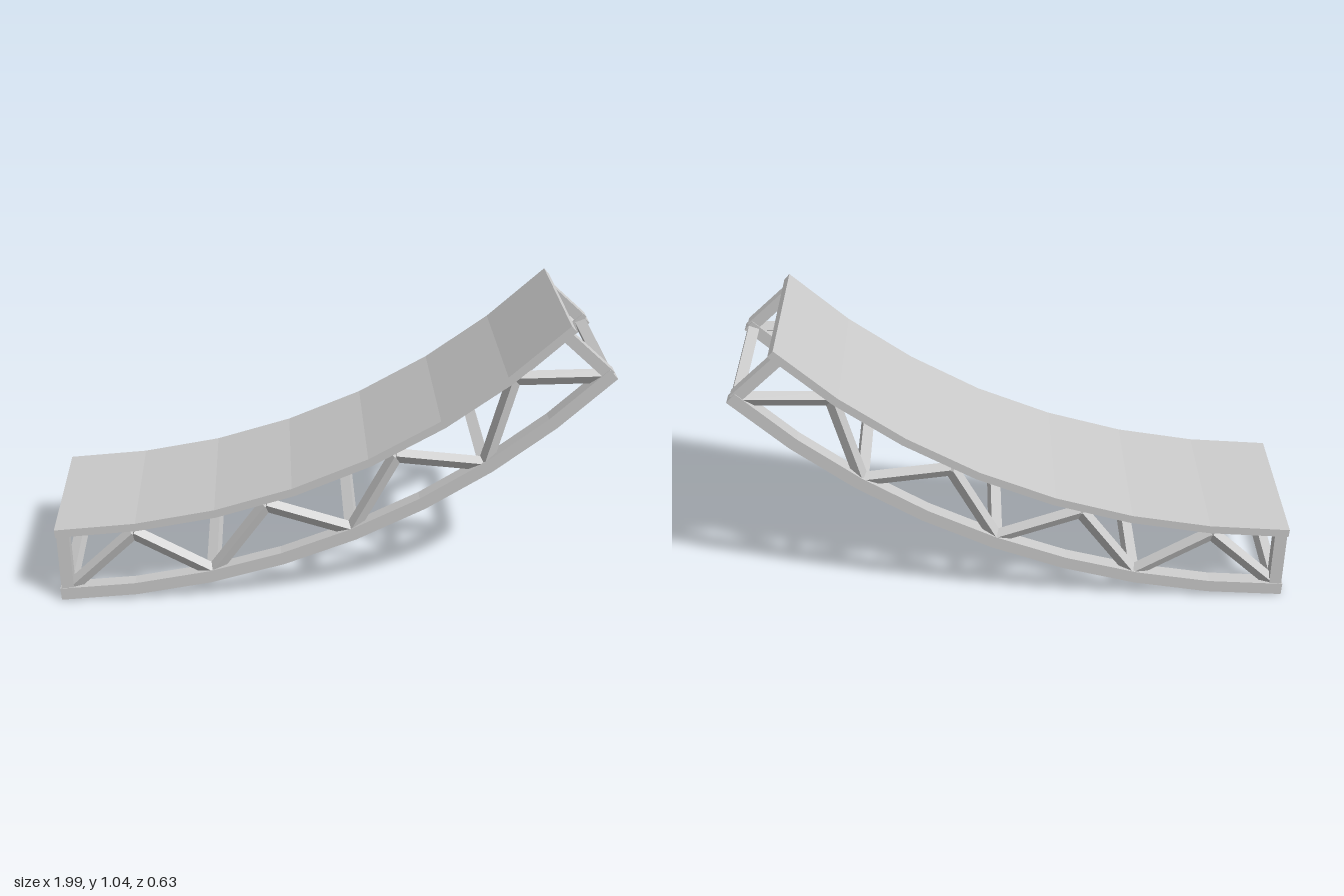
import * as THREE from 'three';

const material = new THREE.MeshStandardMaterial({ color: 0xcccccc, flatShading: true });

function addMesh(parent, name, geometry) {
  const mesh = new THREE.Mesh(geometry, material);
  mesh.name = name;
  parent.add(mesh);
  return mesh;
}

// Faceted curved strip: a profile line thickened along its normals, extruded from z0 to z1
function curvedStrip(points, thickness, z0, z1) {
  const line = points.map(([x, y]) => new THREE.Vector2(x, y));
  const other = line.map((p, i) => {
    const a = line[Math.max(i - 1, 0)], b = line[Math.min(i + 1, line.length - 1)];
    const t = b.clone().sub(a).normalize();
    return new THREE.Vector2(p.x - t.y * thickness, p.y + t.x * thickness);
  });
  const shape = new THREE.Shape([...line, ...other.reverse()]);
  const geometry = new THREE.ExtrudeGeometry(shape, { depth: z1 - z0, bevelEnabled: false });
  return geometry.translate(0, 0, z0);
}

// Square bar between two points of the side plane, twisted about its own axis
function addBar(parent, name, [x0, y0], [x1, y1], z, width, depth, twist) {
  const length = Math.hypot(x1 - x0, y1 - y0);
  const geometry = new THREE.BoxGeometry(length, width, depth);
  geometry.rotateX(twist);
  geometry.rotateZ(Math.atan2(y1 - y0, x1 - x0));
  geometry.translate((x0 + x1) / 2, (y0 + y1) / 2, z);
  return addMesh(parent, name, geometry);
}

export function createModel() {
  const model = new THREE.Group();
  model.name = 'curvedTrussRamp';

  // Deck: thin curved slab
  const deckLine = [[-1, 0.29], [-0.71, 0.312], [-0.425, 0.361], [-0.147, 0.441],
    [0.125, 0.553], [0.38, 0.695], [0.61, 0.858], [0.82, 1.045]];
  addMesh(model, 'deck', curvedStrip(deckLine, -0.03, -0.313, 0.313));

  // Lower chord: arc that follows the deck
  const chordLine = [];
  for (let i = 0; i <= 8; i++) {
    const angle = THREE.MathUtils.degToRad(1 + i * 5.5);
    chordLine.push([-1.04 + 2.877 * Math.sin(angle), 2.88 - 2.877 * Math.cos(angle)]);
  }

  // Joints of the zigzag, alternating between chord and deck
  const joints = [[-0.965, 0.035], [-0.72, 0.262], [-0.435, 0.1], [-0.24, 0.365], [0.07, 0.262],
    [0.225, 0.552], [0.545, 0.515], [0.635, 0.843], [0.965, 0.848]];

  // Two mirrored side trusses
  for (const side of [1, -1]) {
    const truss = new THREE.Group();
    truss.name = side > 0 ? 'frontTruss' : 'backTruss';
    const z = 0.281 * side;
    addMesh(truss, 'lowerChord', curvedStrip(chordLine, 0.046, z - 0.028, z + 0.028));
    addBar(truss, 'lowEndPost', [-0.965, 0.008], [-0.972, 0.265], z, 0.045, 0.05, 0);
    addBar(truss, 'highEndPost', [0.968, 0.855], [0.8, 1.01], z, 0.04, 0.05, 0);
    for (let i = 0; i < joints.length - 1; i++) {
      addBar(truss, 'diagonalStrut', joints[i], joints[i + 1], z, 0.036, 0.036, 0.5 * side);
    }
    model.add(truss);
  }

  // Cross members tie the lower joints together
  for (let i = 0; i < joints.length; i += 2) {
    const [x, y] = joints[i];
    const bar = addMesh(model, 'crossMember', new THREE.BoxGeometry(0.04, 0.038, 0.55));
    bar.position.set(x, i === 0 ? 0.03 : y - 0.01, 0);
    bar.rotation.z = 0.35;
  }

  return model;
}
